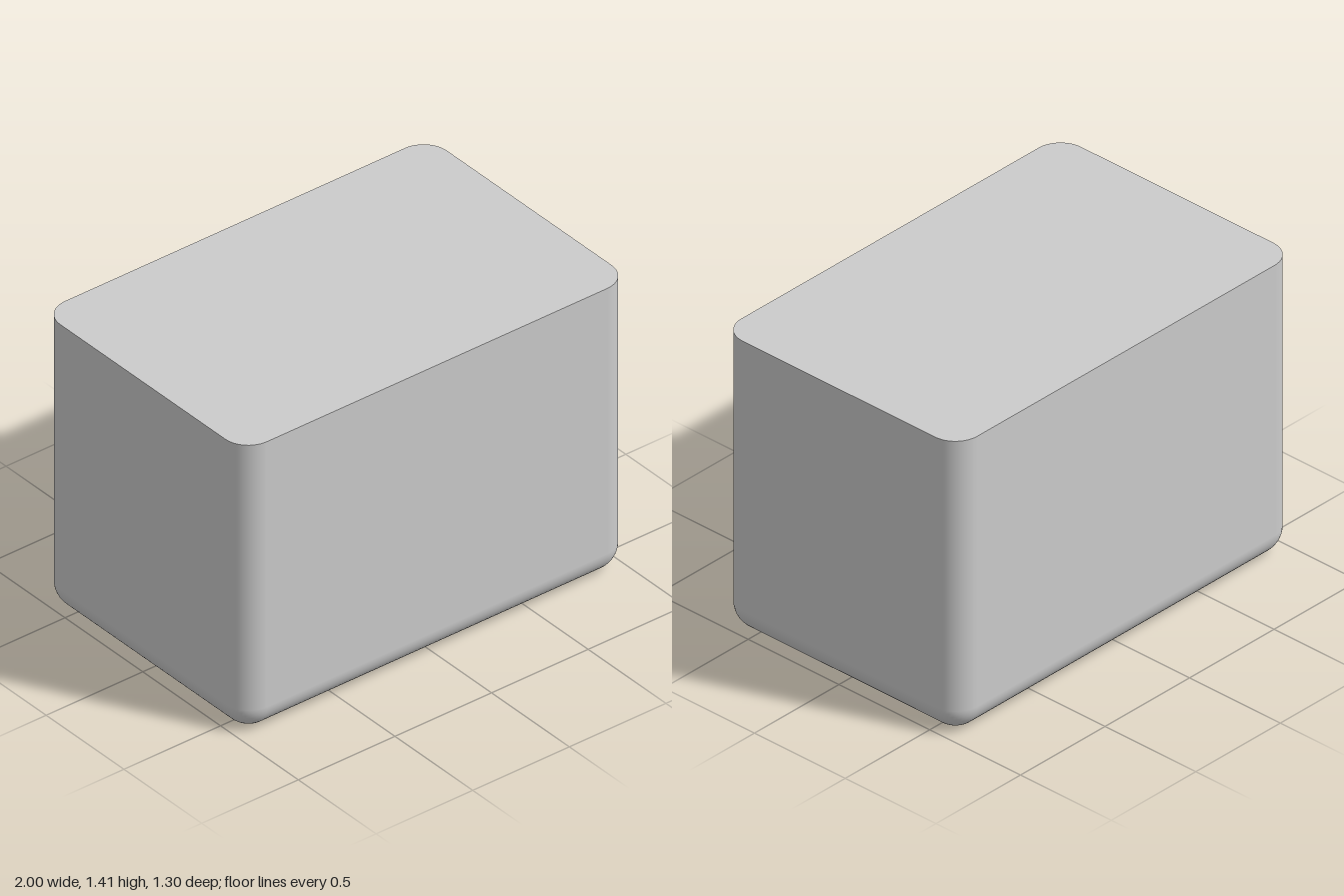
import * as THREE from 'three';

const W = 2, H = 1.41, D = 1.3, R = 0.12; // overall size and edge radius
const HOLE_R = 0.283, HOLE_Z = 0.105;
const SEG = 12;

// Points of the rounded rectangle: core corner plus an arc of the given radius
function outline(radius) {
  const cx = W / 2 - R, cz = D / 2 - R, pts = [];
  for (let q = 0; q < 4; q++) {
    const sx = q === 0 || q === 3 ? 1 : -1, sz = q < 2 ? 1 : -1;
    for (let k = 0; k <= SEG; k++) {
      const phi = (q + k / SEG) * Math.PI / 2;
      const c = Math.cos(phi), s = Math.sin(phi);
      pts.push({ x: sx * cx + radius * c, z: sz * cz + radius * s, c, s });
    }
  }
  return pts;
}

// Walls with a filleted lower edge, lofted from stacked outlines
function shellGeometry() {
  const rings = [];
  for (let j = 0; j <= SEG; j++) {
    const a = j / SEG * Math.PI / 2;
    rings.push({ a, y: R - R * Math.cos(a) });
  }
  rings.push({ a: Math.PI / 2, y: H });
  const pos = [], nor = [], idx = [], n = 4 * (SEG + 1);
  rings.forEach(({ a, y }, j) => {
    for (const p of outline(R * Math.sin(a))) {
      pos.push(p.x, y, p.z);
      nor.push(p.c * Math.sin(a), -Math.cos(a), p.s * Math.sin(a));
    }
    if (j === 0) return;
    for (let i = 0; i < n; i++) {
      const i2 = (i + 1) % n, lo = (j - 1) * n, hi = j * n;
      idx.push(lo + i, hi + i, lo + i2, lo + i2, hi + i, hi + i2);
    }
  });
  const g = new THREE.BufferGeometry();
  g.setAttribute('position', new THREE.Float32BufferAttribute(pos, 3));
  g.setAttribute('normal', new THREE.Float32BufferAttribute(nor, 3));
  g.setIndex(idx);
  return g;
}

export function createModel() {
  const group = new THREE.Group();
  group.name = 'roundedBlock';
  const solid = new THREE.MeshStandardMaterial({ color: 0xcccccc });
  const inner = new THREE.MeshStandardMaterial({ color: 0xcccccc, side: THREE.DoubleSide });
  const add = (name, geometry, material) => {
    const mesh = new THREE.Mesh(geometry, material);
    mesh.name = name;
    group.add(mesh);
    return mesh;
  };

  add('sideWalls', shellGeometry(), solid);

  // Flat top
  const topShape = new THREE.Shape(outline(R).map(p => new THREE.Vector2(p.x, p.z)));
  add('topFace', new THREE.ShapeGeometry(topShape).rotateX(-Math.PI / 2), solid).position.y = H;

  // Two pockets in the underside: a straight bore and a hemispherical bowl
  const bore = [new THREE.Vector2(HOLE_R, 0), new THREE.Vector2(HOLE_R, 0.7)];
  const bowl = [];
  for (let k = 0; k <= 16; k++) {
    const t = k / 16 * Math.PI / 2;
    bowl.push(new THREE.Vector2(HOLE_R * Math.cos(t), HOLE_R * Math.sin(t)));
  }
  const pockets = [
    { name: 'boreWall', x: 0.475, profile: bore },
    { name: 'bowlPocket', x: -0.475, profile: bowl },
  ];

  // Underside with round openings
  const bottomShape = new THREE.Shape(outline(0).map(p => new THREE.Vector2(p.x, p.z))
    .filter((p, i) => i % (SEG + 1) === 0));
  for (const { name, x, profile } of pockets) {
    bottomShape.holes.push(new THREE.Path().absarc(x, HOLE_Z, HOLE_R, 0, Math.PI * 2, true));
    add(name, new THREE.LatheGeometry(profile, 48), inner).position.set(x, 0, HOLE_Z);
  }
  add('bottomFace', new THREE.ShapeGeometry(bottomShape, 48).rotateX(Math.PI / 2), solid);

  // Flat end of the bore
  add('boreEnd', new THREE.CircleGeometry(HOLE_R, 48).rotateX(Math.PI / 2), inner)
    .position.set(0.475, 0.7, HOLE_Z);

  return group;
}
